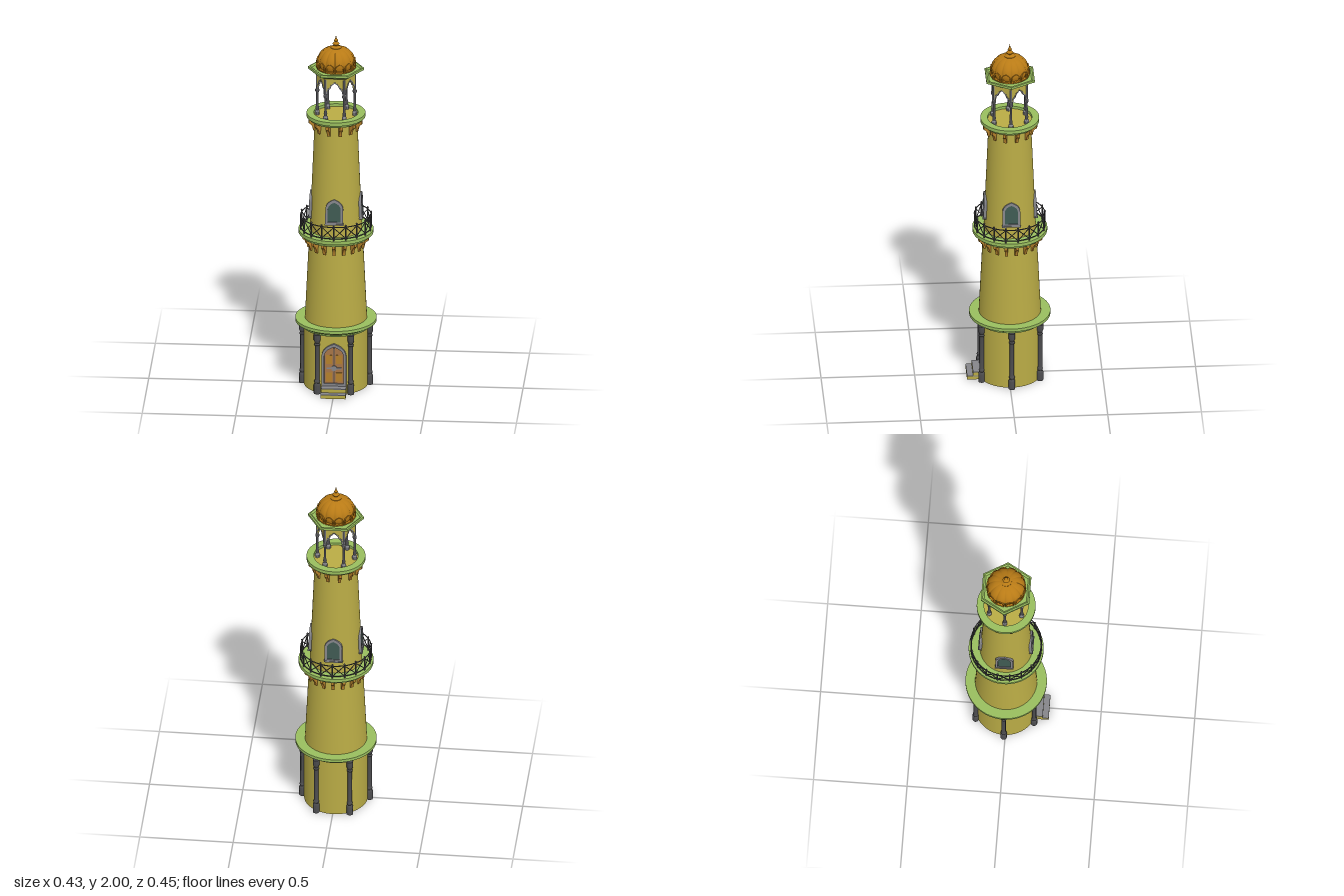
import * as THREE from 'three';
import { toCreasedNormals } from 'three/addons/utils/BufferGeometryUtils.js';

const mat = (color) => new THREE.MeshStandardMaterial({ color, side: THREE.DoubleSide });
const YELLOW = mat(0xb9ab45), GREEN = mat(0x98bd5e), ORANGE = mat(0xb97b16), DARK = mat(0x4c4c4e),
  GREY = mat(0x85858a), WOOD = mat(0xa87648), GLASS = mat(0x3f5a52), BRACKET = mat(0xb5812c);

function add(parent, name, geo, material, x = 0, y = 0, z = 0) {
  const m = new THREE.Mesh(geo, material);
  m.name = name;
  m.position.set(x, y, z);
  parent.add(m);
  return m;
}
const box = (w, h, d) => new THREE.BoxGeometry(w, h, d);
// Turned form from [radius, height] pairs, bottom to top
const turned = (pts, seg = 64, start = 0) => toCreasedNormals(
  new THREE.LatheGeometry(pts.map(([r, y]) => new THREE.Vector2(r, y)), seg, start), 0.55);
// Repeat a part around the axis; angle 0 faces +z
function ring(parent, name, n, offset, build) {
  for (let i = 0; i < n; i++) {
    const g = new THREE.Group();
    g.name = name;
    g.rotation.y = offset + (i * Math.PI * 2) / n;
    build(g, i);
    parent.add(g);
  }
}
// Pointed arch outline, w wide, h high, springing at s, inset by t
function arch(w, h, s, t = 0, C = THREE.Shape) {
  const a = w / 2 - t, top = h - t * 1.3, p = new C();
  p.moveTo(-a, t);
  p.lineTo(a, t);
  p.lineTo(a, s);
  p.quadraticCurveTo(a * 0.95, s + (top - s) * 0.7, 0, top);
  p.quadraticCurveTo(-a * 0.95, s + (top - s) * 0.7, -a, s);
  p.closePath();
  return p;
}
const extrude = (shape, depth) => new THREE.ExtrudeGeometry(shape, { depth, bevelEnabled: false, curveSegments: 10 });
function archFrame(w, h, s, t, depth) {
  const shape = arch(w, h, s);
  shape.holes.push(arch(w, h, s, t, THREE.Path));
  return extrude(shape, depth);
}
// Thin round bar between two points
function bar(parent, name, a, b, r, material) {
  const d = b.clone().sub(a);
  const m = add(parent, name, new THREE.CylinderGeometry(r, r, d.length(), 6), material);
  m.position.copy(a).add(b).multiplyScalar(0.5);
  m.quaternion.setFromUnitVectors(new THREE.Vector3(0, 1, 0), d.normalize());
}

function buildBase(g) {
  // Round wall with the front sixth replaced by a flat door panel
  add(g, 'baseWall', new THREE.CylinderGeometry(0.17, 0.17, 0.345, 60, 1, true, Math.PI / 6, Math.PI * 5 / 3), YELLOW, 0, 0.1725);
  const panel = new THREE.Shape([[-0.085, 0], [0.085, 0], [0.085, 0.345], [-0.085, 0.345]].map(p => new THREE.Vector2(...p)));
  add(g, 'doorWall', extrude(panel, 0.006), YELLOW, 0, 0, 0.142);
  // Columns
  const column = turned([[0, 0], [0.018, 0], [0.018, 0.05], [0.013, 0.06], [0.016, 0.07], [0.012, 0.08], [0.012, 0.27],
    [0.016, 0.28], [0.012, 0.29], [0.018, 0.305], [0.018, 0.338], [0, 0.338]], 12);
  ring(g, 'baseColumn', 6, Math.PI / 6, c => add(c, 'column', column, DARK, 0, 0, 0.18));
  // Door
  const door = new THREE.Group();
  door.name = 'door';
  door.position.set(0, 0.045, 0.147);
  g.add(door);
  add(door, 'doorFrame', archFrame(0.132, 0.24, 0.17, 0.014, 0.014), GREY);
  add(door, 'doorLeaf', extrude(arch(0.128, 0.236, 0.17, 0.01), 0.006), WOOD);
  add(door, 'doorSplit', box(0.004, 0.2, 0.004), DARK, 0, 0.115, 0.007);
  add(door, 'lockPlate', new THREE.CylinderGeometry(0.016, 0.016, 0.006, 8).rotateX(Math.PI / 2), GREY, 0, 0.1, 0.008);
  add(door, 'lockBar', box(0.08, 0.008, 0.005), GREY, 0, 0.1, 0.008);
  for (const s of [-1, 1]) for (const y of [0.05, 0.15])
    add(door, 'doorPanel', box(0.032, 0.05, 0.004), BRACKET, s * 0.027, y, 0.007);
  // Steps
  [[0, 0.232], [0.022, 0.2]].forEach(([y, z]) => {
    add(g, 'step', box(0.134, 0.018, z - 0.14), YELLOW, 0, y + 0.009, (z + 0.14) / 2);
    add(g, 'stepTread', box(0.134, 0.004, z - 0.14), GREY, 0, y + 0.02, (z + 0.14) / 2);
  });
  add(g, 'baseCornice', turned([[0.13, 0.335], [0.178, 0.335], [0.182, 0.345], [0.205, 0.358], [0.209, 0.363],
    [0.217, 0.365], [0.217, 0.382], [0.14, 0.382]], 72), GREEN);
}

// Wedge brackets under a cornice
function brackets(g, n, offset, y, h, inner, outer) {
  const s = new THREE.Shape();
  s.moveTo(inner - 0.01, 0);
  s.lineTo(inner + 0.008, 0);
  s.quadraticCurveTo(inner + 0.012, h * 0.55, outer, h * 0.7);
  s.lineTo(outer, h);
  s.lineTo(inner - 0.01, h);
  const geo = extrude(s, 0.016).translate(0, 0, -0.008).rotateY(-Math.PI / 2);
  ring(g, 'bracket', n, offset, b => add(b, 'bracketBlock', geo, BRACKET, 0, y, 0));
}

function buildRailing(g) {
  const R = 0.188, n = 18, y0 = 0.89;
  const at = (i, y) => new THREE.Vector3(R * Math.sin(i * Math.PI * 2 / n), y, R * Math.cos(i * Math.PI * 2 / n));
  for (let i = 0; i < n; i++) {
    const p = at(i, 0);
    add(g, 'railPost', turned([[0.004, 0], [0.004, 0.082], [0.006, 0.086], [0, 0.092]], 8), DARK, p.x, y0, p.z);
    bar(g, 'railCross', at(i, y0 + 0.012), at(i + 1, y0 + 0.075), 0.0025, DARK);
    bar(g, 'railCross', at(i, y0 + 0.075), at(i + 1, y0 + 0.012), 0.0025, DARK);
  }
  for (const y of [0.012, 0.077])
    add(g, 'handRail', new THREE.TorusGeometry(R, 0.003, 6, 72).rotateX(Math.PI / 2), DARK, 0, y0 + y);
}

function buildShaft(g) {
  add(g, 'lowerShaft', turned([[0.166, 0.375], [0.143, 0.86]]), YELLOW);
  brackets(g, 18, 0, 0.79, 0.067, 0.146, 0.18);
  add(g, 'balconyCornice', turned([[0.12, 0.853], [0.181, 0.853], [0.19, 0.868], [0.2, 0.871], [0.2, 0.89], [0.12, 0.89]], 72), GREEN);
  buildRailing(g);
  add(g, 'upperShaft', turned([[0.14, 0.885], [0.113, 1.53]]), YELLOW);
  // Four windows leaning with the wall
  ring(g, 'window', 4, 0, w => {
    const f = add(w, 'windowFrame', archFrame(0.095, 0.14, 0.085, 0.013, 0.022), GREY, 0, 0.965, 0.122);
    f.rotation.x = -0.042;
    add(f, 'windowGlass', extrude(arch(0.09, 0.136, 0.085, 0.008), 0.018), GLASS);
    add(f, 'windowSill', box(0.1, 0.008, 0.026), GREY, 0, 0, 0.012);
  });
  brackets(g, 12, Math.PI / 12, 1.462, 0.062, 0.116, 0.148);
  add(g, 'topCornice', turned([[0.1, 1.52], [0.14, 1.52], [0.148, 1.533], [0.157, 1.536], [0.157, 1.556], [0.118, 1.556], [0.118, 1.535]], 72), GREEN);
  add(g, 'topFloor', new THREE.CylinderGeometry(0.119, 0.119, 0.012, 48), YELLOW, 0, 1.535);
}

function buildKiosk(g) {
  const column = turned([[0, 0], [0.013, 0], [0.013, 0.02], [0.008, 0.028], [0.01, 0.04], [0.007, 0.05], [0.006, 0.125],
    [0.011, 0.135], [0.011, 0.145], [0.007, 0.15], [0.007, 0.235]], 10);
  ring(g, 'kioskColumn', 6, Math.PI / 6, c => add(c, 'column', column, GREY, 0, 1.54, 0.1));
  // Cusped arch panels between the columns
  const edge = (o) => [[0.042, 0], [0.036, 0.028], [0.025, 0.036], [0.018, 0.052], [0, 0.07]]
    .map(([x, y]) => [x + (x ? o : 0), y + (y ? o : 0)]);
  const full = (o) => { const e = edge(o); return [...e, ...e.slice(0, -1).reverse().map(([x, y]) => [-x, y])]; };
  const toShape = (pts) => new THREE.Shape(pts.map(p => new THREE.Vector2(...p)));
  const panel = extrude(toShape([[-0.05, 0], [-0.05, 0.102], [0.05, 0.102], [0.05, 0], ...full(0)]), 0.008);
  const trim = extrude(toShape([...full(0.005), ...full(0).reverse()]), 0.012);
  ring(g, 'kioskArch', 6, 0, a => {
    add(a, 'archPanel', panel, YELLOW, 0, 1.688, 0.083);
    add(a, 'archTrim', trim, GREY, 0, 1.688, 0.081);
  });
  add(g, 'kioskEaves', turned([[0, 1.785], [0.118, 1.785], [0.126, 1.792], [0.142, 1.798], [0.149, 1.802], [0.149, 1.815],
    [0.14, 1.817], [0.13, 1.81], [0, 1.81]], 6, Math.PI / 6), GREEN);
}

function buildDome(g) {
  // Twelve-lobed dome: radius pulled in along the seams
  const profile = new THREE.SplineCurve([[0.084, 1.808], [0.097, 1.83], [0.101, 1.855], [0.092, 1.885], [0.068, 1.912], [0.035, 1.926], [0.012, 1.931]]
    .map(p => new THREE.Vector2(...p))).getPoints(24);
  const geo = new THREE.LatheGeometry(profile, 144);
  const p = geo.attributes.position;
  for (let i = 0; i < p.count; i++) {
    const k = 0.93 + 0.07 * Math.sqrt(Math.abs(Math.sin(6 * Math.atan2(p.getX(i), p.getZ(i)))));
    p.setX(i, p.getX(i) * k);
    p.setZ(i, p.getZ(i) * k);
  }
  geo.computeVertexNormals();
  add(g, 'dome', geo, ORANGE);
  // Petal border around the foot of the dome
  const petal = archFrame(0.048, 0.05, 0.022, 0.006, 0.007);
  ring(g, 'domePetal', 12, Math.PI / 12, d => add(d, 'petal', petal, ORANGE, 0, 1.815, 0.097));
  add(g, 'domeFoot', turned([[0.09, 1.808], [0.098, 1.81], [0.098, 1.82], [0.09, 1.822]], 48), ORANGE);
  add(g, 'finial', turned([[0.03, 1.922], [0.03, 1.93], [0.018, 1.935], [0.012, 1.94], [0.019, 1.949], [0.012, 1.958], [0.007, 1.962],
    [0.011, 1.968], [0.006, 1.976], [0.003, 1.985], [0, 2]], 20), ORANGE);
}

export function createModel() {
  const model = new THREE.Group();
  model.name = 'tower';
  const g = new THREE.Group();
  g.name = 'towerBody';
  g.position.z = -0.008;
  model.add(g);
  [buildBase, buildShaft, buildKiosk, buildDome].forEach(build => build(g));
  return model;
}
